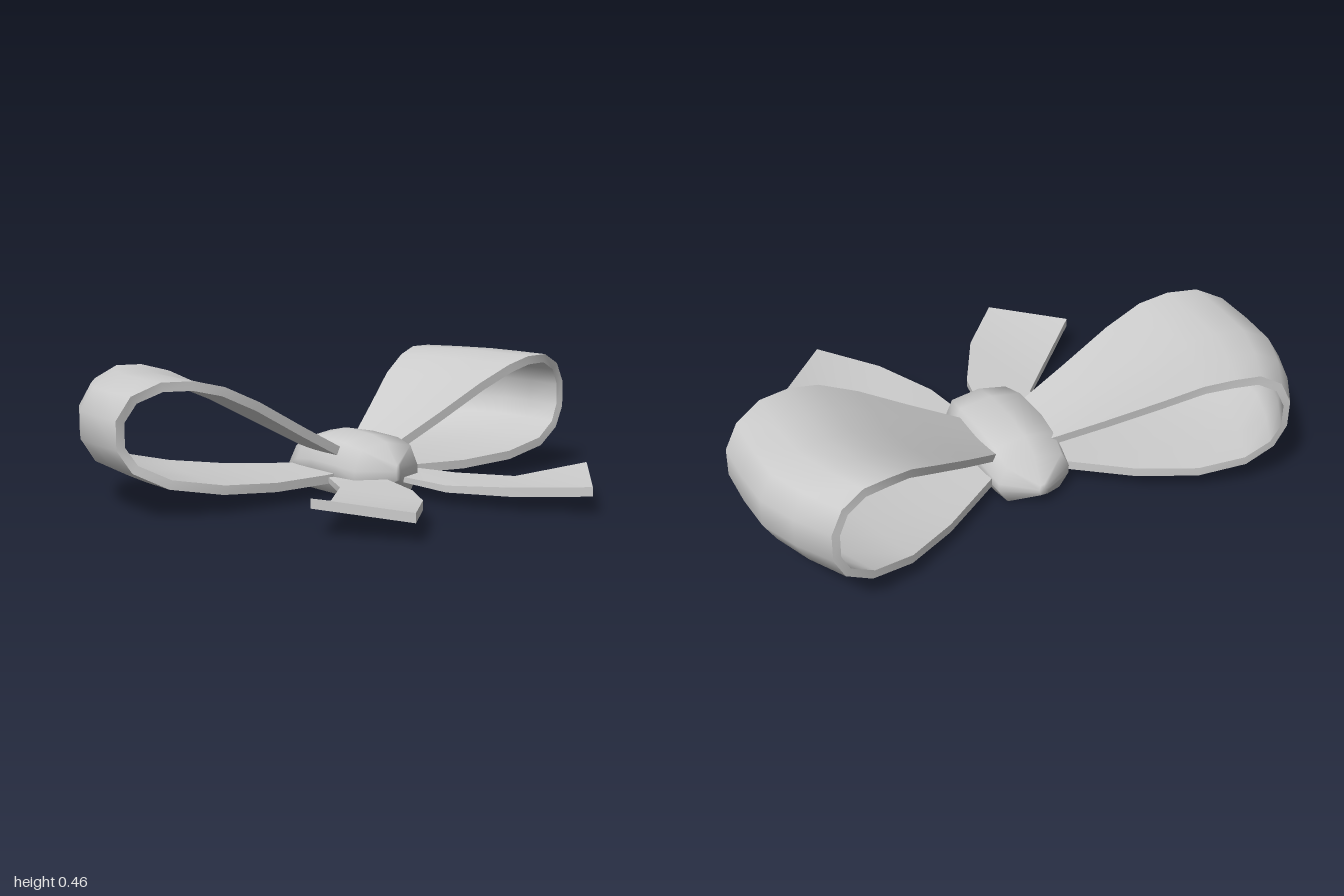
import * as THREE from 'three';
import { mergeGeometries, mergeVertices } from 'three/addons/utils/BufferGeometryUtils.js';

const material = new THREE.MeshStandardMaterial({ color: 0xcccccc });

// Smooth surface through rows of [x, y, z] points
function grid(rows) {
  const n = rows[0].length, index = [];
  for (let i = 0; i < rows.length - 1; i++) {
    for (let j = 0; j < n - 1; j++) {
      const a = i * n + j, d = a + n;
      index.push(a, d, a + 1, d, d + 1, a + 1);
    }
  }
  const g = new THREE.BufferGeometry();
  g.setAttribute('position', new THREE.Float32BufferAttribute(rows.flat(2), 3));
  g.setIndex(index);
  return g;
}

// Thick ribbon: two broad faces, two edges and two ends, sharp between them
function ribbon(outer, inner) {
  const last = outer.length - 1, n = outer[0].length - 1;
  const faces = [
    outer,
    inner.map((r) => [...r].reverse()),
    outer.map((r, i) => [inner[i][0], r[0]]),
    outer.map((r, i) => [r[n], inner[i][n]]),
    [inner[0], outer[0]],
    [outer[last], inner[last]],
  ].map(grid);
  faces.forEach((f) => f.computeVertexNormals());
  return mergeGeometries(faces);
}

// Linear interpolation in a list of [x, value]
function lerpIn(table, x) {
  let i = 1;
  while (i < table.length - 1 && x > table[i][0]) i++;
  const [x0, v0] = table[i - 1], [x1, v1] = table[i];
  return v0 + (v1 - v0) * THREE.MathUtils.clamp((x - x0) / (x1 - x0), 0, 1);
}

// Bow loop: profile in x, y swept back and widening away from the knot
function loopGeometry() {
  const path = [[0.04, 0.13], [0.12, 0.175], [0.3, 0.27], [0.49, 0.375], [0.63, 0.438], [0.74, 0.464],
    [0.85, 0.464], [0.945, 0.42], [0.993, 0.34], [0.993, 0.24], [0.945, 0.16], [0.83, 0.1],
    [0.64, 0.066], [0.42, 0.05], [0.2, 0.052], [0.04, 0.058]];
  const front = [[0.04, -0.09], [0.11, -0.08], [0.6, -0.045], [0.8, -0.075], [1, -0.15]];
  const back = [[0.04, -0.29], [0.11, -0.33], [0.5, -0.57], [0.72, -0.67], [1, -0.72]];
  const columns = [[0, 1], [0.28, 0.997], [0.54, 0.982], [0.78, 0.92], [1, 0.838]];
  const thickness = 0.033;
  const outer = [], inner = [];
  path.forEach(([x, y], i) => {
    const p = path[Math.max(i - 1, 0)], q = path[Math.min(i + 1, path.length - 1)];
    const l = Math.hypot(q[0] - p[0], q[1] - p[1]) / thickness;
    const ix = x + (q[1] - p[1]) / l, iy = y - (q[0] - p[0]) / l;
    const zf = lerpIn(front, x), zb = lerpIn(back, x);
    outer.push(columns.map(([t, k]) => [x * k, y, zf + (zb - zf) * t]));
    inner.push(columns.map(([t, k]) => [ix * k, iy, zf + (zb - zf) * t]));
  });
  return ribbon(outer, inner);
}

// Ribbon tail: pairs of inner and outer edge points along a shallow wave
function tailGeometry() {
  const top = [
    [[0.0, 0.075, -0.06], [0.13, 0.075, -0.22]],
    [[0.04, 0.075, 0.08], [0.185, 0.075, -0.08]],
    [[0.08, 0.07, 0.28], [0.26, 0.073, 0.1]],
    [[0.205, 0.083, 0.5], [0.41, 0.068, 0.26]],
    [[0.39, 0.096, 0.7], [0.605, 0.125, 0.43]],
  ];
  const thin = [0.02, 0.02, 0.025, 0.033, 0.033];
  return ribbon(top, top.map((r, i) => r.map(([x, y, z]) => [x, y - thin[i], z])));
}

// Knot: rounded, flat-bottomed section lofted front to back
function knotGeometry() {
  const section = [[0.115, 0], [0.155, 0.33], [0.155, 0.53], [0.12, 0.9], [0, 1],
    [-0.12, 0.9], [-0.155, 0.53], [-0.155, 0.33], [-0.115, 0], [0.115, 0]];
  const stations = [ // z, centre x, width factor, bottom, top
    [0.1, 0, 0, 0.1, 0.1], [0.1, 0, 0.06, 0.07, 0.13], [0.03, -0.005, 0.9, 0, 0.2], [-0.06, -0.01, 1, 0, 0.22],
    [-0.22, -0.015, 1, 0, 0.226], [-0.32, -0.02, 0.96, 0, 0.205], [-0.39, -0.025, 0.88, 0, 0.16],
    [-0.46, -0.03, 0.12, 0.045, 0.09], [-0.46, -0.03, 0, 0.07, 0.07]];
  const g = mergeVertices(grid(stations.map(([z, cx, w, lo, hi]) =>
    section.map(([x, v]) => [cx + x * w, lo + (hi - lo) * v, z]))));
  // the loft runs towards -z, so turn its faces outward if needed
  const p = g.attributes.position, idx = g.index.array;
  let volume = 0;
  const [a, b, c] = [0, 1, 2].map(() => new THREE.Vector3());
  for (let i = 0; i < idx.length; i += 3) {
    a.fromBufferAttribute(p, idx[i]);
    b.fromBufferAttribute(p, idx[i + 1]);
    c.fromBufferAttribute(p, idx[i + 2]);
    volume += a.dot(b.cross(c));
  }
  if (volume < 0) idx.reverse();
  g.computeVertexNormals();
  return g;
}

// Mirror a geometry in x, keeping its faces outward
function mirrored(geometry) {
  const g = geometry.clone().scale(-1, 1, 1);
  g.index.array.reverse();
  g.deleteAttribute('normal');
  const normals = geometry.attributes.normal.clone();
  for (let i = 0; i < normals.count; i++) normals.setX(i, -normals.getX(i));
  g.setAttribute('normal', normals);
  return g;
}

export function createModel() {
  const model = new THREE.Group();
  model.name = 'ribbonBow';
  const add = (parent, name, geometry) => {
    const mesh = new THREE.Mesh(geometry, material);
    mesh.name = name;
    parent.add(mesh);
  };
  const loop = loopGeometry(), tail = tailGeometry();

  add(model, 'knot', knotGeometry());
  add(model, 'leftLoop', loop);
  add(model, 'leftTail', tail);

  // The other half is mirrored and turned slightly forward
  const rightHalf = new THREE.Group();
  rightHalf.name = 'rightHalf';
  rightHalf.rotation.y = 0.035;
  add(rightHalf, 'rightLoop', mirrored(loop));
  add(rightHalf, 'rightTail', mirrored(tail));
  model.add(rightHalf);
  return model;
}
